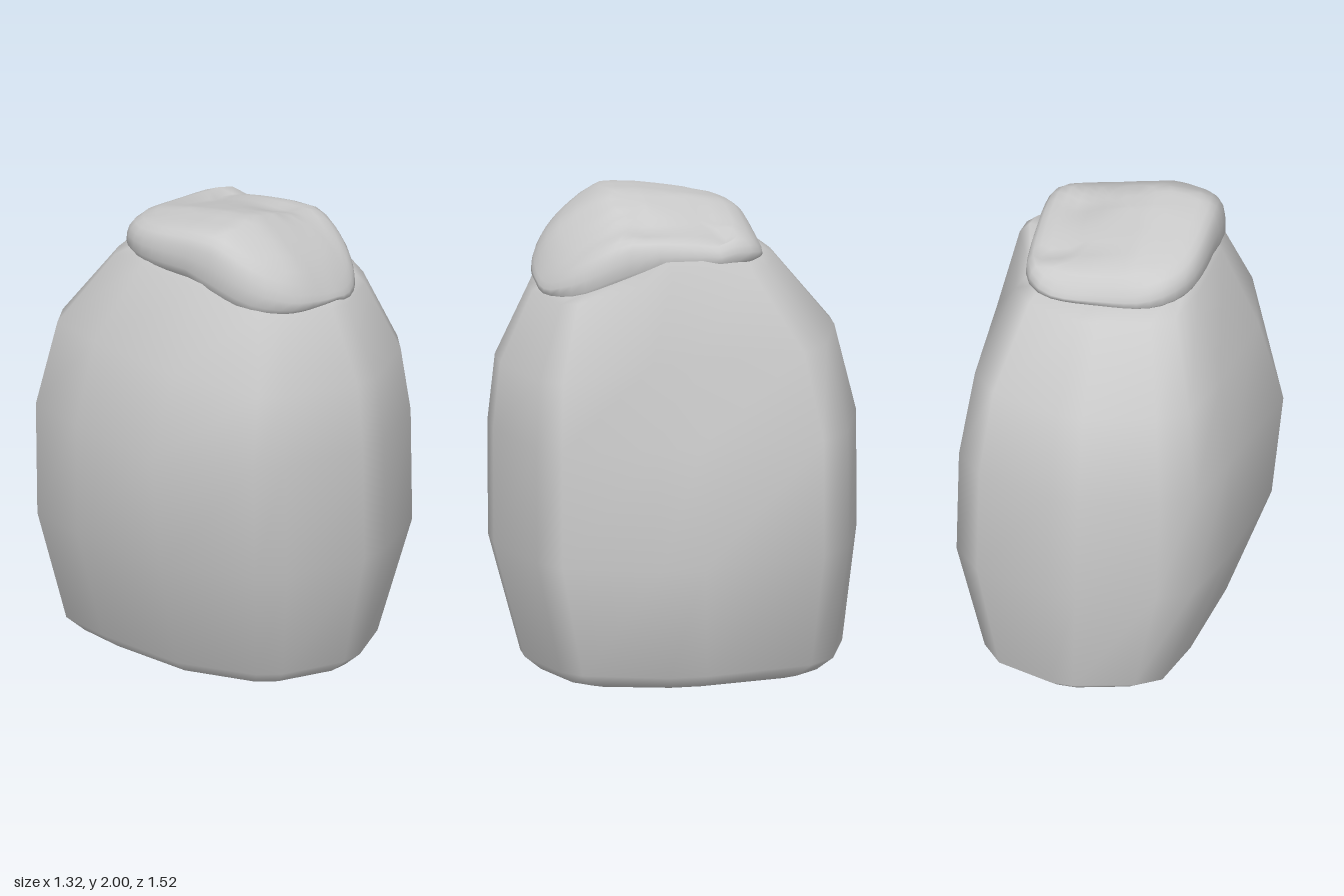
import * as THREE from 'three';

const material = new THREE.MeshStandardMaterial({ color: 0xcccccc });

// Skin a stack of equal-length rings (bottom to top) and close both ends.
function loft(rings) {
  const n = rings[0].length;
  const pos = rings.flat().flatMap((p) => [p.x, p.y, p.z]);
  const index = [];
  for (let r = 0; r < rings.length - 1; r++) {
    for (let i = 0; i < n; i++) {
      const j = (i + 1) % n;
      const a = r * n + i, b = r * n + j, c = b + n, d = a + n;
      index.push(a, b, c, a, c, d);
    }
  }
  for (const end of [0, rings.length - 1]) {
    const centre = rings[end].reduce((s, p) => s.add(p), new THREE.Vector3()).divideScalar(n);
    const k = pos.length / 3;
    pos.push(centre.x, centre.y, centre.z);
    for (let i = 0; i < n; i++) {
      const a = end * n + i, b = end * n + ((i + 1) % n);
      if (end) index.push(a, b, k);
      else index.push(b, a, k);
    }
  }
  const geometry = new THREE.BufferGeometry();
  geometry.setAttribute('position', new THREE.Float32BufferAttribute(pos, 3));
  geometry.setIndex(index);
  geometry.computeVertexNormals();
  return geometry;
}

// Piecewise linear lookup in [input, output] pairs sorted by input.
function lookup(table, t) {
  for (let i = 1; i < table.length; i++) {
    const [x0, y0] = table[i - 1], [x1, y1] = table[i];
    if (t <= x1) return THREE.MathUtils.mapLinear(Math.max(t, x0), x0, x1, y0, y1);
  }
  return table[table.length - 1][1];
}

// Boulder: a faceted outline with narrow bevels, fitted to each level.
function boulderGeometry() {
  const outline = [
    [0.15, 1], [0.66, 0.84], [0.8, 0.72], [1, 0.2], [1, -0.04], [0.82, -0.72],
    [0.64, -0.88], [0.15, -1], [-0.04, -1], [-0.54, -0.9], [-0.75, -0.8],
    [-0.87, -0.44], [-1, 0.2], [-0.75, 0.71], [-0.6, 0.83], [-0.06, 1],
  ];
  // y, left x, right x, corner half width, corner shift, back z, front z, front drop, back drop
  const levels = [
    [0, -0.3, 0.4, 0.37, 0.04, -0.56, 0.49, 0, 0],
    [0.02, -0.36, 0.46, 0.42, 0.04, -0.63, 0.56, 0, 0],
    [0.08, -0.43, 0.53, 0.49, 0.04, -0.7, 0.63, 0, 0],
    [0.58, -0.61, 0.66, 0.65, 0.02, -0.76, 0.76, 0, 0],
    [1.07, -0.66, 0.55, 0.65, 0.01, -0.76, 0.76, 0, 0],
    [1.44, -0.55, 0.52, 0.59, 0.01, -0.67, 0.73, 0.09, 0],
    [1.79, -0.39, 0.44, 0.44, 0.01, -0.42, 0.59, 0.14, 0.04],
    [1.83, -0.34, 0.4, 0.38, 0.01, -0.33, 0.52, 0.15, 0.03],
  ];
  return loft(levels.map(([y, x0, x1, w, shift, z0, z1, front, back]) => outline.map(([u, v]) => {
    let x = shift + u * w;
    if (u === 1) x = x1;
    if (u === -1) x = x0;
    const drop = v > 0 ? front * v * (1 + 0.35 * Math.max(0, u)) : -back * v;
    return new THREE.Vector3(x, y - drop, (z0 + z1) / 2 + v * (z1 - z0) / 2);
  })));
}

// Cap: a soft slab draped over the top, lower at the front.
function capGeometry() {
  const heightByZ = [
    [-0.36, 1.85], [-0.32, 1.9], [-0.28, 1.925], [-0.1, 1.965], [0.1, 1.995], [0.24, 2.005],
    [0.32, 1.965], [0.42, 1.9], [0.5, 1.83], [0.57, 1.74],
  ];
  const heightByX = [[-0.38, -0.02], [-0.12, 0], [0.02, -0.03], [0.2, -0.07], [0.36, -0.08]];
  const bottomByZ = [[-0.36, 1.78], [0.1, 1.78], [0.4, 1.68], [0.57, 1.66]];
  const lipByX = [[0.04, 0], [0.12, -0.03], [0.3, -0.04], [0.36, 0]];
  const radii = [0.86, 0.95, 1, 0.995, 0.975, 0.93, 0.86, 0.75, 0.6, 0.45, 0.3, 0.15, 0.04];
  const lift = [-0.06, 0, 0.22, 0.5, 0.72, 0.87, 0.95, 1, 1, 1, 1, 1, 1];
  const segments = 48;
  return loft(radii.map((r, k) => Array.from({ length: segments }, (_, i) => {
    const a = (i / segments) * Math.PI * 2;
    const s = Math.sin(a), c = Math.cos(a);
    // squarer at the back left corner
    const power = 2.8 + 1.5 * Math.max(0, -2 * s * c) * (s > 0 ? 1 : 0);
    const round = Math.pow(Math.abs(s) ** power + Math.abs(c) ** power, -1 / power);
    const wobble = 1 + 0.008 * Math.sin(5 * a + 1) * r;
    const x = -0.01 + 0.375 * r * s * round * wobble;
    const z = 0.105 + 0.464 * r * c * round * wobble;
    const dent = 0.025 * Math.exp(-((x - 0.2) ** 2 + (z - 0.15) ** 2) / 0.012);
    const top = lookup(heightByZ, z) + lookup(heightByX, x) * (z < -0.2 ? 0.5 : 1) - dent;
    const bottom = lookup(bottomByZ, z) + lookup(lipByX, x) * Math.max(0, c);
    return new THREE.Vector3(x, bottom + (top - bottom) * lift[k], z);
  })));
}

export function createModel() {
  const model = new THREE.Group();
  model.name = 'cappedBoulder';
  const parts = { boulder: boulderGeometry(), cap: capGeometry() };
  for (const [name, geometry] of Object.entries(parts)) {
    const mesh = new THREE.Mesh(geometry, material);
    mesh.name = name;
    model.add(mesh);
  }
  return model;
}
